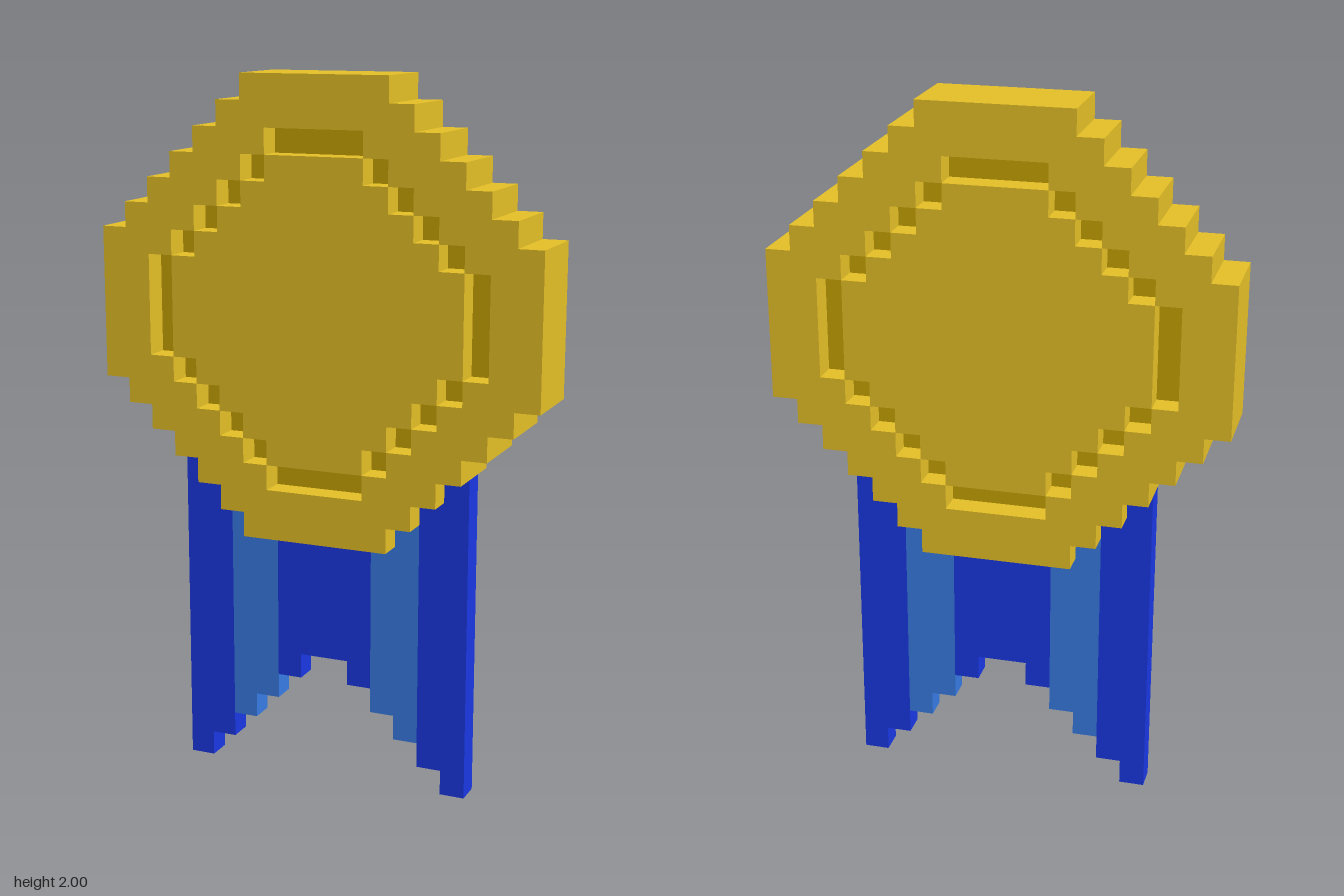
import * as THREE from 'three';

const U = 2 / 28; // one block
const CENTRE_Y = 19 * U;

const gold = new THREE.MeshStandardMaterial({ color: 0xe7c127 });
gold.name = 'gold';
const darkGold = new THREE.MeshStandardMaterial({ color: 0xc9a500 });
darkGold.name = 'darkGold';
const blue = new THREE.MeshStandardMaterial({ color: 0x1a38e6 });
blue.name = 'blue';
const lightBlue = new THREE.MeshStandardMaterial({ color: 0x387ce6 });
lightBlue.name = 'lightBlue';

// Stepped disc outline, clockwise: starts at half-width `top` and widens one block
// per row until it reaches `side`, with the straight sides `flat` blocks tall.
function steppedDisc(top, side, flat) {
  const right = [];
  let y = flat / 2 + side - top;
  for (let w = top; w < side; w++, y--) right.push([w, y], [w, y - 1]);
  right.push([side, y]);
  const quarter = right.map(([x, v]) => new THREE.Vector2(x * U, v * U));
  const mirror = (sx, sy) => quarter.map((p) => new THREE.Vector2(p.x * sx, p.y * sy));
  return [
    ...mirror(1, 1), ...mirror(1, -1).reverse(),
    ...mirror(-1, -1), ...mirror(-1, 1).reverse(),
  ];
}

// Extruded slab centred on z = 0, with its depth given in blocks
function slab(name, shape, depth, material) {
  const geometry = new THREE.ExtrudeGeometry(shape, { depth: depth * U, bevelEnabled: false });
  geometry.translate(0, 0, -depth * U / 2);
  const mesh = new THREE.Mesh(geometry, material);
  mesh.name = name;
  return mesh;
}

// Ribbon panel from column x0 to x1, stepped where it meets the medal and at its hem
function ribbonPanel(name, x0, x1, material) {
  const top = [];
  const bottom = [];
  for (let x = x0; x < x1; x++) {
    const d = Math.abs(x + 0.5) - 0.5; // distance of the column from the middle
    const high = 10 + Math.max(0, d - 2);
    const low = 5 - d;
    top.push([x, high], [x + 1, high]);
    bottom.push([x, low], [x + 1, low]);
  }
  const outline = [...bottom, ...top.reverse()].map(([x, y]) => new THREE.Vector2(x * U, y * U));
  return slab(name, new THREE.Shape(outline), 1, material);
}

export function createModel() {
  const model = new THREE.Group();
  model.name = 'ribbonMedal';

  // Medal: raised rim, sunken ring and raised centre, alike on both faces
  const medal = new THREE.Group();
  medal.name = 'medal';
  medal.position.y = CENTRE_Y;
  const rim = new THREE.Shape(steppedDisc(3, 9, 6));
  // The hole runs against the outline so that its walls face inwards
  rim.holes.push(new THREE.Path(steppedDisc(2, 7, 4).reverse()));
  medal.add(
    slab('medalRim', rim, 3, gold),
    slab('grooveFloor', new THREE.Shape(steppedDisc(2, 7, 4)), 1, darkGold),
    slab('medalCentre', new THREE.Shape(steppedDisc(2, 6, 4)), 3, gold),
  );
  model.add(medal);

  // Ribbon: striped panels with a notched hem
  const ribbon = new THREE.Group();
  ribbon.name = 'ribbon';
  ribbon.add(
    ribbonPanel('middlePanel', -2, 2, blue),
    ribbonPanel('leftStripe', 2, 4, lightBlue),
    ribbonPanel('rightStripe', -4, -2, lightBlue),
    ribbonPanel('leftEdge', 4, 6, blue),
    ribbonPanel('rightEdge', -6, -4, blue),
  );
  model.add(ribbon);

  return model;
}
